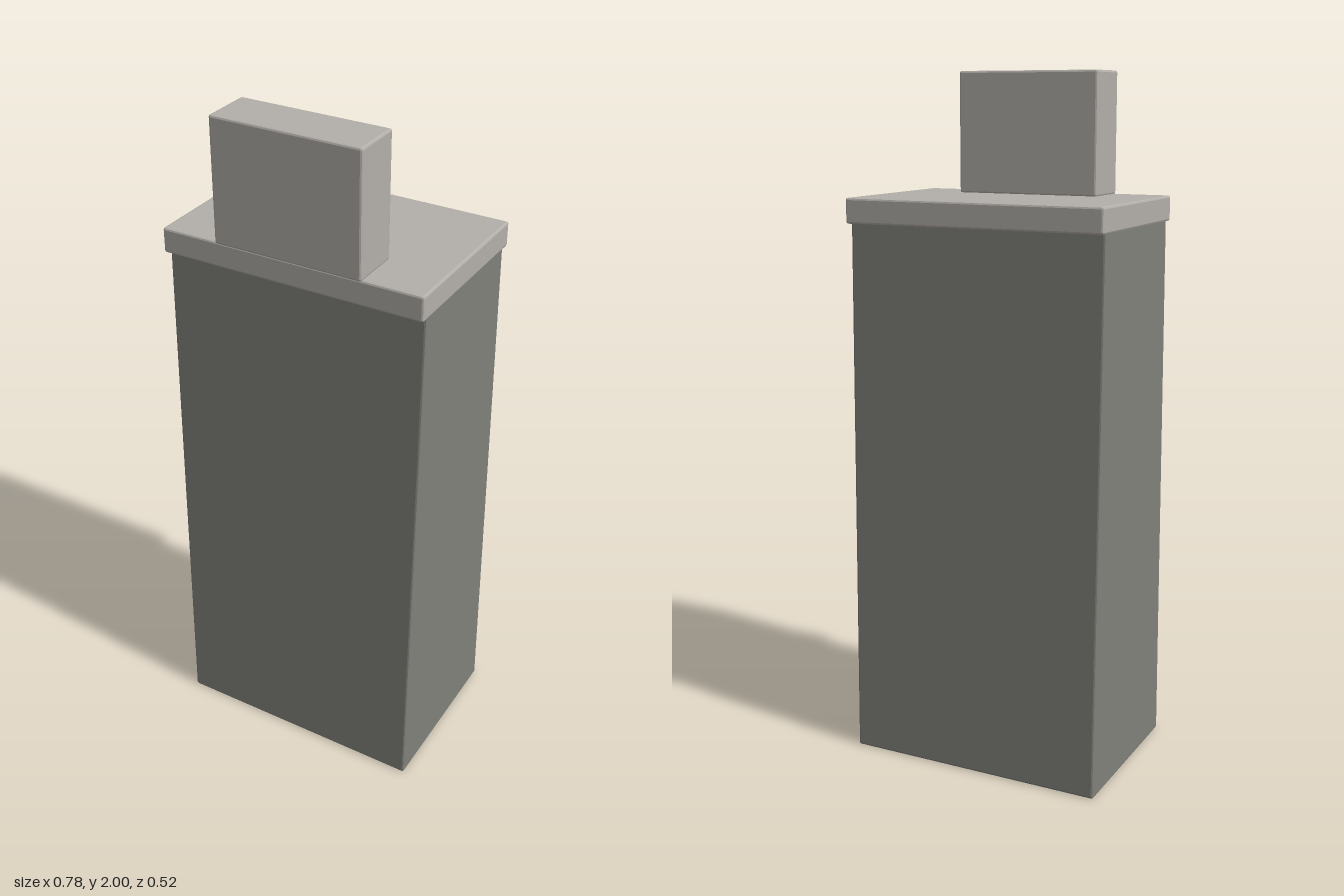
import * as THREE from 'three';
import { RoundedBoxGeometry } from 'three/addons/geometries/RoundedBoxGeometry.js';

const BEVEL = 0.006;

// Box with small flat bevels, given by its extents on each axis
function bevelledBox([x0, x1], [y0, y1], [z0, z1]) {
  const geometry = new RoundedBoxGeometry(x1 - x0, y1 - y0, z1 - z0, 1, BEVEL);
  geometry.translate((x0 + x1) / 2, (y0 + y1) / 2, (z0 + z1) / 2);
  geometry.computeVertexNormals();
  return geometry;
}

// Narrow a geometry's depth evenly from y = 0 up to the given height
function taperDepth(geometry, height, topScale) {
  const p = geometry.attributes.position;
  for (let i = 0; i < p.count; i++) {
    p.setZ(i, p.getZ(i) * THREE.MathUtils.lerp(1, topScale, p.getY(i) / height));
  }
  geometry.computeVertexNormals();
  return geometry;
}

export function createModel() {
  const lightStone = new THREE.MeshStandardMaterial({ color: 0xb3afaa });
  lightStone.name = 'lightStone';
  const darkStone = new THREE.MeshStandardMaterial({ color: 0x80817a });
  darkStone.name = 'darkStone';

  const model = new THREE.Group();
  model.name = 'pedestal';
  const add = (name, geometry, material) => {
    const mesh = new THREE.Mesh(geometry, material);
    mesh.name = name;
    model.add(mesh);
  };

  // Tapered column, with a light underside (fourth face group)
  const column = taperDepth(bevelledBox([-0.387, 0.387], [0, 1.59], [-0.258, 0.258]), 1.59, 0.875);
  add('column', column, [darkStone, darkStone, darkStone, lightStone, darkStone, darkStone]);

  // Overhanging top slab
  add('topSlab', bevelledBox([-0.39, 0.39], [1.58, 1.652], [-0.25, 0.25]), lightStone);

  // Upright block along the front edge
  add('uprightBlock', bevelledBox([-0.218, 0.218], [1.65, 2], [0.106, 0.257]), lightStone);

  return model;
}
